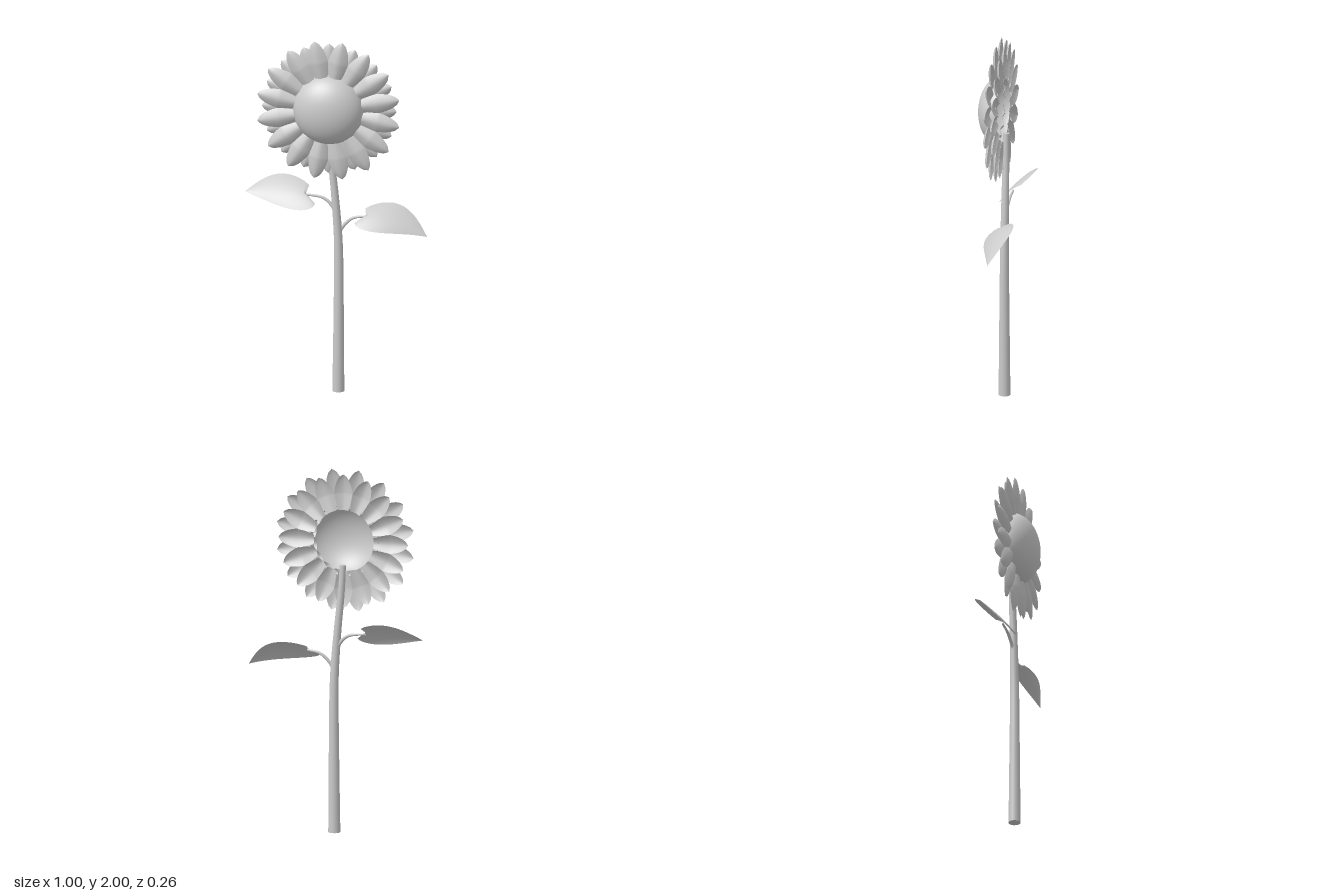
import * as THREE from 'three';
import { ParametricGeometry } from 'three/addons/geometries/ParametricGeometry.js';

const V = (x, y, z) => new THREE.Vector3(x, y, z);
const material = new THREE.MeshStandardMaterial({ color: 0xcccccc, side: THREE.DoubleSide });

function part(name, geometry) {
  const mesh = new THREE.Mesh(geometry, material);
  mesh.name = name;
  return mesh;
}

// Tube along a spline whose radius runs from r0 to r1
function taperedTube(points, r0, r1, segments, sides) {
  const curve = new THREE.CatmullRomCurve3(points);
  const geometry = new THREE.TubeGeometry(curve, segments, 1, sides);
  const pos = geometry.attributes.position;
  const p = V();
  for (let i = 0; i < pos.count; i++) {
    const t = Math.floor(i / (sides + 1)) / segments;
    const centre = curve.getPointAt(t);
    p.fromBufferAttribute(pos, i).sub(centre).multiplyScalar(r0 + (r1 - r0) * t).add(centre);
    pos.setXYZ(i, p.x, p.y, p.z);
  }
  return geometry;
}

// Petal lying along +x, ridged towards +z, narrow root and rounded tip
function petalGeometry(root, tip, halfWidth) {
  return new ParametricGeometry((a, t, target) => {
    const u = a * 2 - 1;
    const w = halfWidth * Math.min(1, 0.5 + 1.1 * t) * Math.pow(1 - Math.pow(t, 3.2), 0.65);
    const ridge = 0.024 * (1 - Math.pow(Math.abs(u), 1.6)) * (w / halfWidth);
    target.set(root + (tip - root) * t, u * w, ridge);
  }, 8, 14);
}

// Heart-shaped leaf: a curved midrib with sides spread along "across"
function leafGeometry(base, control, tip, across) {
  const rib = new THREE.QuadraticBezierCurve3(base, control, tip);
  const side = Math.sign(tip.x);
  const up = V(0, across.z, -across.y).normalize();
  return new ParametricGeometry((a, t, target) => {
    const u = a * 2 - 1;
    const w = Math.sin(Math.PI * (0.17 + 0.83 * Math.pow(t, 0.75)));
    target.copy(rib.getPoint(t));
    target.addScaledVector(across, u * w);
    target.addScaledVector(up, 0.016 * (1 - u * u) * w);
    target.x -= side * 0.035 * Math.abs(u) * Math.pow(1 - t, 3);
  }, 14, 24);
}

export function createModel() {
  const model = new THREE.Group();
  model.name = 'sunflower';

  // Stem, leaning to one side near the head, with end caps
  const stem = new THREE.Group();
  stem.name = 'stem';
  const path = [V(0.014, 0, -0.02), V(0.016, 0.45, -0.02), V(0.014, 0.85, -0.02),
    V(-0.005, 1.12, -0.02), V(-0.025, 1.32, -0.02), V(-0.035, 1.48, -0.02)];
  stem.add(part('stemTube', taperedTube(path, 0.033, 0.017, 40, 16)));
  const bottom = part('stemBottom', new THREE.CircleGeometry(0.033, 16));
  bottom.position.copy(path[0]);
  bottom.rotation.x = Math.PI / 2;
  const top = part('stemTop', new THREE.CircleGeometry(0.017, 16));
  top.position.copy(path[5]);
  top.rotation.x = -Math.PI / 2;
  stem.add(bottom, top);
  model.add(stem);

  // Flower head: hollow domed disc and two staggered rings of petals
  const head = new THREE.Group();
  head.name = 'flowerHead';
  head.position.set(-0.035, 1.61, 0);
  const dome = new THREE.SphereGeometry(1, 40, 16, 0, Math.PI * 2, 0, Math.PI / 2);
  dome.rotateX(Math.PI / 2);
  dome.scale(0.195, 0.195, 0.13);
  head.add(part('seedDisc', dome));

  const rings = [
    { name: 'frontPetal', tip: 0.397, half: 0.058, z: 0.021, start: 0.5 },
    { name: 'backPetal', tip: 0.37, half: 0.056, z: -0.013, start: 0 },
  ];
  for (const ring of rings) {
    const geometry = petalGeometry(0.17, ring.tip, ring.half);
    for (let i = 0; i < 16; i++) {
      const petal = part(ring.name, geometry);
      petal.rotation.z = (i + ring.start) * Math.PI / 8;
      petal.position.z = ring.z;
      head.add(petal);
    }
  }
  model.add(head);

  // Leaves on thin arched stalks
  const leftBase = V(0.165, 1.0, -0.03);
  const rightBase = V(-0.165, 1.108, -0.03);
  model.add(
    part('leftLeafStalk', taperedTube(
      [V(0.012, 0.89, -0.02), V(0.04, 0.94, -0.025), V(0.09, 0.985, -0.03), leftBase], 0.011, 0.006, 16, 8)),
    part('leftLeaf', leafGeometry(
      leftBase, V(0.34, 1.01, -0.05), V(0.5, 0.9, -0.025), V(-0.045, -0.057, 0.087))),
    part('rightLeafStalk', taperedTube(
      [V(0.003, 1.0, -0.02), V(-0.02, 1.05, -0.025), V(-0.07, 1.093, -0.03), rightBase], 0.011, 0.006, 16, 8)),
    part('rightLeaf', leafGeometry(
      rightBase, V(-0.33, 1.12, -0.06), V(-0.503, 1.1, -0.05), V(0.045, -0.073, 0.087))),
  );
  return model;
}
